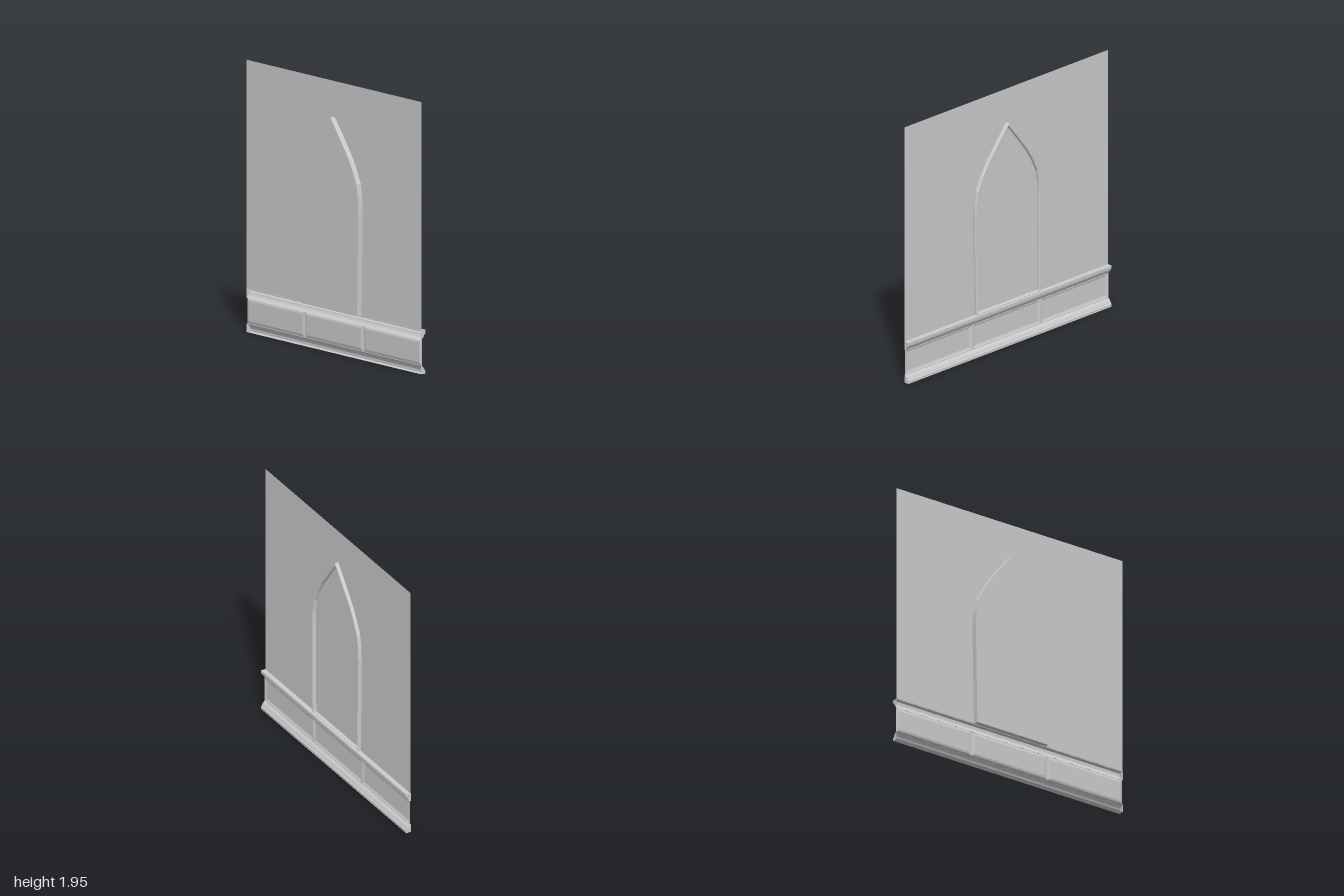
import * as THREE from 'three';

const material = new THREE.MeshStandardMaterial({ color: 0xcccccc, flatShading: true, side: THREE.DoubleSide });

function add(parent, name, geometry) {
  const mesh = new THREE.Mesh(geometry, material);
  mesh.name = name;
  parent.add(mesh);
  return mesh;
}

// Geometry from a list of four-cornered faces
function fromQuads(quads) {
  const positions = [];
  for (const [a, b, c, d] of quads) positions.push(...a, ...b, ...c, ...a, ...c, ...d);
  const geometry = new THREE.BufferGeometry();
  geometry.setAttribute('position', new THREE.Float32BufferAttribute(positions, 3));
  geometry.computeVertexNormals();
  return geometry;
}

// Moulding with an open back: [x, y] profile swept along z, closed at both ends
function moulding(name, profile) {
  const group = new THREE.Group();
  group.name = name;
  const quads = [];
  for (let i = 0; i < profile.length - 1; i++) {
    const [x0, y0] = profile[i], [x1, y1] = profile[i + 1];
    quads.push([[x0, y0, 1], [x0, y0, -1], [x1, y1, -1], [x1, y1, 1]]);
  }
  add(group, name + 'Face', fromQuads(quads));
  const end = new THREE.Shape(profile.map(([x, y]) => new THREE.Vector2(x, y)));
  for (const side of [-1, 1]) add(group, name + 'End', new THREE.ShapeGeometry(end)).position.z = side;
  return group;
}

// Sunk panel made of nested rectangles, each given as [inset, x]
function sunkPanel(z0, z1, y0, y1) {
  const rings = [[0, 0.005], [0.008, 0.005], [0.012, 0], [0.026, -0.004]].map(([i, x]) => [
    [x, y0 + i, z1 - i], [x, y0 + i, z0 + i], [x, y1 - i, z0 + i], [x, y1 - i, z1 - i],
  ]);
  const quads = [rings[rings.length - 1]];
  for (let r = 0; r < rings.length - 1; r++) {
    for (let k = 0; k < 4; k++) {
      const n = (k + 1) % 4;
      quads.push([rings[r][k], rings[r][n], rings[r + 1][n], rings[r + 1][k]]);
    }
  }
  return fromQuads(quads);
}

// Symmetric pointed arch outline from the points of one half
function archPoints(half) {
  const right = half.map(([z, y]) => new THREE.Vector2(z, y));
  const left = half.filter(([z]) => z > 0).reverse().map(([z, y]) => new THREE.Vector2(-z, y));
  return [...right, ...left];
}

export function createModel() {
  const model = new THREE.Group();
  model.name = 'panelledWall';

  // Plain upper wall
  add(model, 'wall', fromQuads([[[0, 0.31, 1], [0, 0.31, -1], [0, 1.945, -1], [0, 1.945, 1]]]));

  // Pointed arch: solid block behind the wall, raised frame in front
  const outer = archPoints([
    [0.314, 0.313], [0.327, 1.06], [0.322, 1.16], [0.305, 1.255], [0.257, 1.355],
    [0.204, 1.44], [0.105, 1.568], [0.012, 1.683], [0, 1.687],
  ]);
  const inner = archPoints([
    [0.299, 0.327], [0.306, 1.06], [0.301, 1.15], [0.285, 1.24], [0.24, 1.338],
    [0.19, 1.42], [0.095, 1.545], [0, 1.663],
  ]);
  const block = new THREE.ExtrudeGeometry(new THREE.Shape(outer), { depth: 0.037, bevelEnabled: false });
  add(model, 'archBlock', block.rotateY(Math.PI / 2).translate(-0.04, 0, 0));
  const ring = new THREE.Shape(outer);
  ring.holes.push(new THREE.Path(inner));
  const frame = new THREE.ExtrudeGeometry(ring, {
    depth: 0.03, bevelThickness: 0.008, bevelSize: 0.006, bevelOffset: -0.006, bevelSegments: 1,
  });
  add(model, 'archFrame', frame.rotateY(Math.PI / 2).translate(-0.013, 0, 0));

  // Mouldings above and below the panels
  model.add(moulding('chairRail', [
    [-0.004, 0.245], [0.004, 0.252], [0.013, 0.258], [0.022, 0.272], [0.026, 0.284],
    [0.037, 0.291], [0.037, 0.313], [-0.004, 0.313],
  ]));
  model.add(moulding('baseboard', [
    [-0.004, 0], [0.037, 0], [0.037, 0.02], [0.03, 0.024], [0.025, 0.036],
    [0.016, 0.048], [0.006, 0.056], [-0.004, 0.06],
  ]));

  // Three sunk panels
  for (const [z0, z1] of [[-1, -0.335], [-0.335, 0.335], [0.335, 1]]) {
    add(model, 'sunkPanel', sunkPanel(z0, z1, 0.056, 0.25));
  }
  return model;
}
